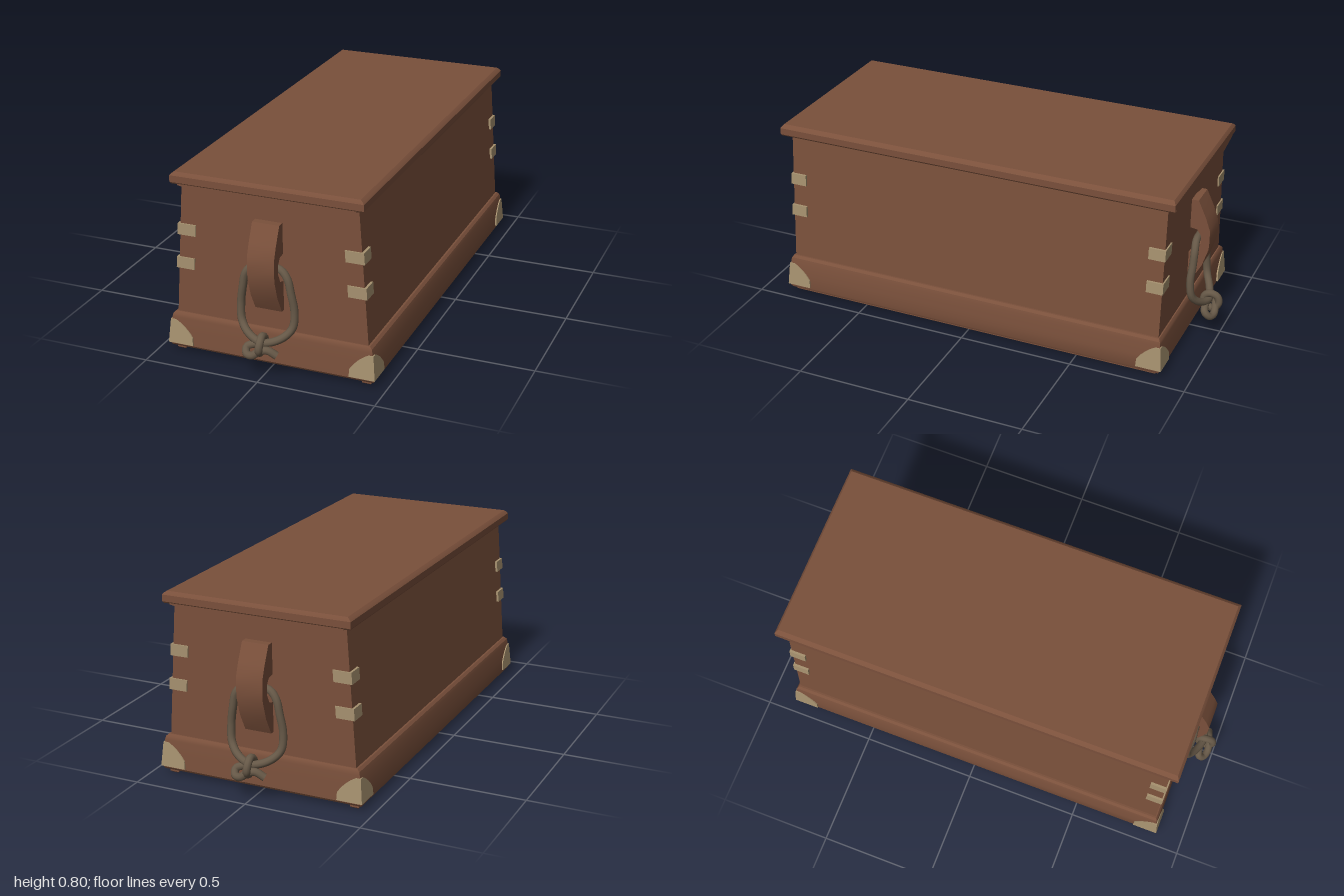
import * as THREE from 'three';
import { toCreasedNormals } from 'three/addons/utils/BufferGeometryUtils.js';

const material = (name, color) => {
  const m = new THREE.MeshStandardMaterial({ color });
  m.name = name;
  return m;
};

// Closed solid through horizontal rings of [x, y, z], listed from bottom to top
function loft(rings, crease = 0.5) {
  const pos = [];
  const tri = (a, b, c) => pos.push(...a, ...b, ...c);
  const n = rings[0].length;
  for (let i = 0; i < rings.length - 1; i++) {
    const lo = rings[i], up = rings[i + 1];
    for (let j = 0; j < n; j++) {
      const k = (j + 1) % n;
      tri(lo[j], lo[k], up[k]);
      tri(lo[j], up[k], up[j]);
    }
  }
  const bottom = rings[0], top = rings[rings.length - 1];
  for (let j = 1; j < n - 1; j++) {
    tri(bottom[0], bottom[j + 1], bottom[j]);
    tri(top[0], top[j], top[j + 1]);
  }
  const g = new THREE.BufferGeometry();
  g.setAttribute('position', new THREE.Float32BufferAttribute(pos, 3));
  return toCreasedNormals(g, crease);
}

// Rectangular ring
const rect = ([y, hx, hz]) => [[hx, y, hz], [hx, y, -hz], [-hx, y, -hz], [-hx, y, hz]];

// L-shaped ring that wraps the corner on side sx, sz
function ell(y, hx, hz, wx, wz, t, sx, sz) {
  let p = [[hx, hz], [hx, hz - wz], [hx - t, hz - wz], [hx - t, hz - t], [hx - wx, hz - t], [hx - wx, hz]];
  if (sx * sz < 0) p = [p[0], ...p.slice(1).reverse()];
  return p.map(([x, z]) => [x * sx, y, z * sz]);
}

// Half width of the tapering body at height y
const bodyX = (y) => 0.418 - (y - 0.175) * 0.071;
const BODY_Z = 0.855;

export function createModel() {
  const wood = material('brown wood', 0x7a503b);
  const metal = material('dull brass', 0xa6916f);
  const rope = material('grey rope', 0x665847);
  const model = new THREE.Group();
  model.name = 'seaChest';

  const add = (parent, name, geometry, mat) => {
    const mesh = new THREE.Mesh(geometry, mat);
    mesh.name = name;
    parent.add(mesh);
    return mesh;
  };

  // Tapering body, flared base and overhanging lid
  add(model, 'body', loft([[0.1, bodyX(0.1), BODY_Z], [0.76, bodyX(0.76), BODY_Z]].map(rect)), wood);
  add(model, 'base', loft([
    [0.02, 0.445, 0.868], [0.03, 0.449, 0.875], [0.09, 0.445, 0.873],
    [0.15, 0.44, 0.869], [0.165, 0.436, 0.867], [0.175, 0.426, 0.86],
  ].map(rect)), wood);
  add(model, 'lid', loft([
    [0.75, 0.406, 0.888], [0.757, 0.411, 0.893], [0.785, 0.411, 0.893],
    [0.793, 0.404, 0.888], [0.8, 0.394, 0.882],
  ].map(rect)), wood);

  // Runners under the long sides
  for (const s of [-1, 1]) {
    const runner = add(model, 'runner', loft([[0, 0.014, 0.848], [0.005, 0.02, 0.853], [0.025, 0.02, 0.853]].map(rect)), wood);
    runner.position.x = s * 0.41;
  }

  // Metal corner caps and bands
  for (const sx of [-1, 1]) for (const sz of [-1, 1]) {
    const cap = [[0.036, 0.111], [0.07, 0.106], [0.092, 0.088], [0.112, 0.066], [0.128, 0.044], [0.14, 0.022]];
    add(model, 'cornerCap', loft(cap.map(([y, w]) => {
      const lean = (y - 0.036) * 0.09;
      return ell(y, 0.455 - lean, 0.883 - lean, w, w, 0.014, sx, sz);
    })), metal);
    for (const [y0, y1] of [[0.373, 0.422], [0.521, 0.57]]) {
      add(model, 'cornerBand', loft([y0, y1].map((y) =>
        ell(y, bodyX(y) + 0.01, BODY_Z + 0.006, 0.08, 0.072, 0.012, sx, sz))), metal);
    }
  }

  // Matching ends: pointed valance, cleat and knotted rope handle
  for (const turn of [0, Math.PI]) {
    const end = new THREE.Group();
    end.name = turn ? 'backEnd' : 'frontEnd';
    end.rotation.y = turn;
    model.add(end);

    const valance = new THREE.Shape();
    valance.moveTo(-0.38, 0.755);
    valance.lineTo(-0.38, 0.747);
    valance.lineTo(-0.035, 0.69);
    valance.quadraticCurveTo(0, 0.681, 0.035, 0.69);
    valance.lineTo(0.38, 0.747);
    valance.lineTo(0.38, 0.755);
    const valanceGeo = new THREE.ExtrudeGeometry(valance, { depth: 0.04, bevelEnabled: false });
    valanceGeo.translate(0, 0, 0.85);
    add(end, 'valance', toCreasedNormals(valanceGeo, 0.5), wood);

    // Cleat, profile given as distance out from the centre and height
    const cleat = new THREE.Shape([
      [0.85, 0.64], [0.885, 0.64], [0.92, 0.565], [0.94, 0.51], [0.942, 0.465], [0.94, 0.42],
      [0.915, 0.34], [0.875, 0.265], [0.85, 0.265], [0.85, 0.39], [0.885, 0.4], [0.905, 0.44],
      [0.903, 0.48], [0.885, 0.505], [0.85, 0.51],
    ].map(([z, y]) => new THREE.Vector2(z, y)));
    const cleatGeo = new THREE.ExtrudeGeometry(cleat, { depth: 0.116, bevelEnabled: false });
    cleatGeo.rotateY(-Math.PI / 2).translate(0.057, 0, 0);
    add(end, 'cleat', toCreasedNormals(cleatGeo, 0.6), wood);

    // Rope loop hanging through the cleat
    const half = [[0.06, 0.453, 0.885], [0.09, 0.42, 0.89], [0.104, 0.36, 0.89],
      [0.116, 0.28, 0.886], [0.11, 0.21, 0.895], [0.07, 0.168, 0.92]];
    const loop = [[0, 0.458, 0.884], ...half, [0, 0.148, 0.94],
      ...half.map(([x, y, z]) => [-x, y, z]).reverse()];
    const tube = (name, points, closed, r = 0.0165) => {
      const path = new THREE.CatmullRomCurve3(points.map((p) => new THREE.Vector3(...p)), closed);
      add(end, name, new THREE.TubeGeometry(path, closed ? 64 : 32, r, 10, closed), rope);
      return path;
    };
    tube('ropeLoop', loop, true);

    // Knot: upright wrap, side bight and cut tail
    tube('knotWrap', [[0, 0.178, 0.945], [0.004, 0.165, 0.976], [0.002, 0.135, 0.983],
      [-0.004, 0.112, 0.96], [-0.004, 0.125, 0.925], [0, 0.16, 0.92]], true);
    const tail = tube('knotBight', [[0.012, 0.14, 0.93], [-0.035, 0.135, 0.935], [-0.068, 0.12, 0.945],
      [-0.06, 0.1, 0.965], [-0.03, 0.102, 0.975], [0.0, 0.125, 0.97], [0.03, 0.128, 0.96], [0.064, 0.107, 0.95]], false);
    const cut = add(end, 'tailEnd', new THREE.CircleGeometry(0.0165, 10), rope);
    cut.position.copy(tail.getPoint(1));
    cut.quaternion.setFromUnitVectors(new THREE.Vector3(0, 0, 1), tail.getTangent(1));
  }

  return model;
}
